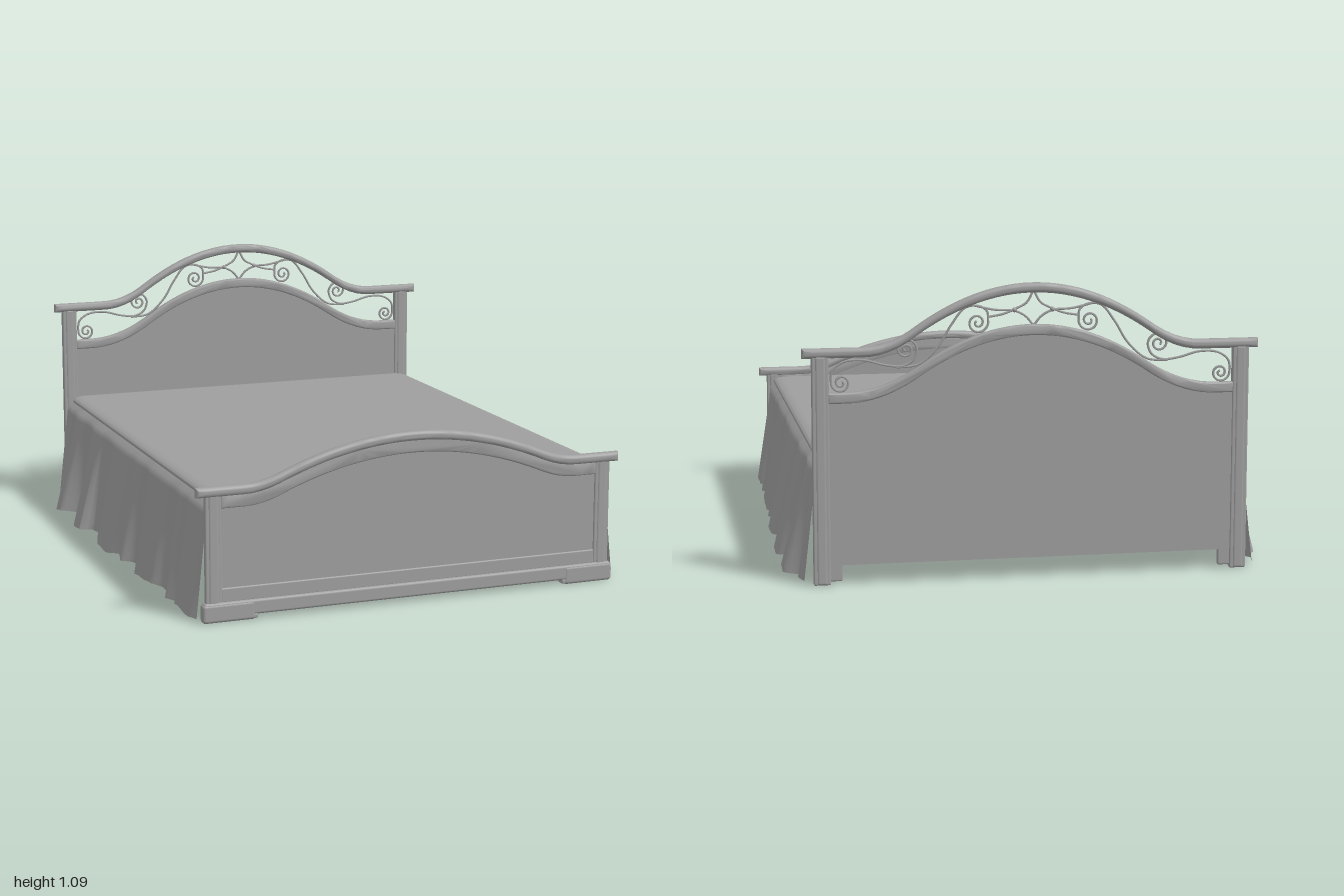
import * as THREE from 'three';
import { toCreasedNormals } from 'three/addons/utils/BufferGeometryUtils.js';
import { RoundedBoxGeometry } from 'three/addons/geometries/RoundedBoxGeometry.js';

const wood = new THREE.MeshStandardMaterial({ color: 0x9e9e9e });
const cloth = new THREE.MeshStandardMaterial({ color: 0x9e9e9e, side: THREE.DoubleSide });

function add(parent, name, geometry, material = wood) {
  const mesh = new THREE.Mesh(geometry, material);
  mesh.name = name;
  parent.add(mesh);
  return mesh;
}

// Arch: a full crown up to |x| = bend, easing into flat ends at |x| = half.
const arch = (low, rise, half, bend) => x => {
  const a = Math.abs(x);
  if (a >= half) return low;
  return low + rise * (a < bend ? 1 - a * a / (half * bend) : (half - a) ** 2 / (half * (half - bend)));
};

// Board between two curves of x, with softened edges, from z0 to z1.
function board(halfWidth, bottom, top, z0, z1, bevel) {
  const n = 48, points = [];
  for (let i = 0; i <= n; i++) {
    const x = -halfWidth + 2 * halfWidth * i / n;
    points.push(new THREE.Vector2(x, bottom(x)));
  }
  for (let i = n; i >= 0; i--) {
    const x = -halfWidth + 2 * halfWidth * i / n;
    points.push(new THREE.Vector2(x, top(x)));
  }
  const geometry = new THREE.ExtrudeGeometry(new THREE.Shape(points), {
    depth: z1 - z0 - 2 * bevel, bevelEnabled: bevel > 0, bevelThickness: bevel,
    bevelSize: bevel, bevelOffset: -bevel, bevelSegments: 4,
  });
  geometry.translate(0, 0, z0 + bevel);
  return toCreasedNormals(geometry, 0.7);
}

function block(parent, name, x0, x1, y0, y1, z0, z1, radius = 0.006) {
  const geometry = new RoundedBoxGeometry(x1 - x0, y1 - y0, z1 - z0, 3, radius);
  add(parent, name, geometry).position.set((x0 + x1) / 2, (y0 + y1) / 2, (z0 + z1) / 2);
}

// Pair of posts: a square core with a half-round strip on both faces.
function posts(parent, height, z0, z1) {
  for (const side of [-1, 1]) {
    const cx = side * 0.775;
    block(parent, 'post', cx - 0.031, cx + 0.031, 0.003, height, z0 + 0.003, z1 - 0.003);
    block(parent, 'postMoulding', cx - 0.02, cx + 0.02, 0.003, height, z0, z1, 0.01);
  }
}

// Spiral winding outward from its centre to the given end angle.
function spiral(cx, cy, radius, endAngle, direction) {
  const points = [], n = 24, turns = 1.7;
  for (let i = 0; i <= n; i++) {
    const t = i / n, r = radius * (0.15 + 0.85 * t);
    const a = endAngle - direction * (1 - t) * turns * 2 * Math.PI;
    points.push([cx + r * Math.cos(a), cy + r * Math.sin(a)]);
  }
  return points;
}

function scrollwork(parent) {
  const lower = spiral(0.7, 0.74, 0.035, 0, 1);
  const middle = spiral(0.465, 0.855, 0.04, Math.PI * 1.05, 1).reverse();
  const upper = spiral(0.205, 0.945, 0.04, Math.PI * 0.9, -1).reverse();
  const paths = [
    [...lower, [0.73, 0.785], [0.69, 0.815], [0.62, 0.82], [0.54, 0.8], [0.48, 0.795], [0.44, 0.815], ...middle],
    [[0.5, 0.79], [0.42, 0.8], [0.35, 0.86], [0.3, 0.94], [0.25, 1.0], [0.2, 1.005], [0.17, 0.985], ...upper],
    [[0.23, 1.01], [0.14, 0.99], [0.07, 0.985], [0.03, 0.965], [0, 0.93]],
    [[0.165, 0.965], [0.11, 0.975], [0.06, 0.995], [0.025, 1.015], [0, 1.06]],
  ];
  const group = new THREE.Group();
  group.name = 'scrollwork';
  for (const path of paths) for (const side of [-1, 1]) {
    const curve = new THREE.CatmullRomCurve3(path.map(([x, y]) => new THREE.Vector3(side * x, y, -0.982)));
    add(group, 'scroll', new THREE.TubeGeometry(curve, path.length * 5, 0.0045, 6));
  }
  // Small collars where the central scrolls cross
  for (const side of [-1, 1]) {
    add(group, 'collar', new THREE.SphereGeometry(0.009, 10, 8)).position.set(side * 0.07, 0.988, -0.982);
  }
  parent.add(group);
}

function headboard() {
  const group = new THREE.Group();
  group.name = 'headboard';
  const rail = arch(0.83, 0.22, 0.62, 0.44), panel = arch(0.705, 0.23, 0.68, 0.42);
  add(group, 'headTopRail', board(0.84, rail, x => rail(x) + 0.036, -1, -0.964, 0.014));
  add(group, 'headPanel', board(0.75, () => 0.075, x => panel(x) - 0.01, -0.992, -0.975, 0));
  add(group, 'headPanelMoulding', board(0.748, x => panel(x) - 0.04, panel, -0.996, -0.969, 0.008));
  posts(group, 0.84, -0.999, -0.967);
  // Short legs under the panel, beside the posts
  for (const side of [-1, 1]) {
    block(group, 'innerLeg', side * 0.725 - 0.025, side * 0.725 + 0.025, 0.015, 0.085, -0.99, -0.972);
  }
  scrollwork(group);
  return group;
}

function footboard() {
  const group = new THREE.Group();
  group.name = 'footboard';
  const rail = arch(0.464, 0.144, 0.66, 0.52);
  add(group, 'footTopRail', board(0.84, rail, x => rail(x) + 0.036, 0.962, 1, 0.014));
  add(group, 'footRailMoulding', board(0.748, x => rail(x) - 0.045, x => rail(x) + 0.01, 0.967, 0.992, 0.008));
  add(group, 'footPanel', board(0.75, () => 0.06, x => rail(x) - 0.01, 0.968, 0.984, 0));
  posts(group, 0.475, 0.965, 0.993);
  // Plinth with a lower moulding and a foot under each post
  block(group, 'lowerRail', -0.748, 0.748, 0.07, 0.125, 0.972, 0.988);
  block(group, 'plinth', -0.815, 0.815, 0.018, 0.074, 0.963, 0.998, 0.01);
  for (const side of [-1, 1]) {
    block(group, 'foot', side * 0.72 - 0.1, side * 0.72 + 0.1, 0, 0.07, 0.96, 1, 0.012);
    block(group, 'footTip', side * 0.71 - 0.1, side * 0.71 + 0.1, 0.004, 0.022, 0.962, 0.998);
  }
  return group;
}

function mattress() {
  const x = 0.782, z0 = -0.968, z1 = 0.96, r = 0.06;
  const shape = new THREE.Shape();
  shape.absarc(x - r, z1 - r, r, 0, Math.PI / 2);
  shape.absarc(-x + r, z1 - r, r, Math.PI / 2, Math.PI);
  shape.absarc(-x + r, z0 + r, r, Math.PI, Math.PI * 1.5);
  shape.absarc(x - r, z0 + r, r, Math.PI * 1.5, Math.PI * 2);
  const geometry = new THREE.ExtrudeGeometry(shape, {
    depth: 0.002, bevelEnabled: true, bevelThickness: 0.016, bevelSize: 0.045,
    bevelOffset: -0.045, bevelSegments: 8, curveSegments: 8,
  });
  geometry.rotateX(Math.PI / 2);
  geometry.translate(0, 0.45, 0);
  return toCreasedNormals(geometry, 0.8);
}

// Hem outline of the skirt as [z, x]; folds fade out towards the top.
const hem = [
  [-0.97, 0.838], [-0.9, 0.855], [-0.84, 0.828], [-0.79, 0.9], [-0.72, 0.9], [-0.66, 0.83],
  [-0.62, 0.815], [-0.57, 0.84], [-0.51, 0.9], [-0.4, 0.9], [-0.38, 0.85], [-0.3, 0.845],
  [-0.23, 0.875], [-0.17, 0.89], [-0.02, 0.89], [0.04, 0.86], [0.13, 0.88], [0.18, 0.84],
  [0.23, 0.82], [0.29, 0.87], [0.4, 0.87], [0.5, 0.865], [0.54, 0.83], [0.6, 0.82],
  [0.66, 0.862], [0.74, 0.818], [0.77, 0.858], [0.93, 0.856], [0.968, 0.835],
];

function skirt(side) {
  const nz = 140, ny = 16;
  const geometry = new THREE.PlaneGeometry(1, 1, nz, ny);
  const position = geometry.attributes.position;
  for (let i = 0; i < position.count; i++) {
    const z = -0.97 + 1.938 * (position.getX(i) + 0.5), drop = 0.5 - position.getY(i);
    let k = 0;
    while (k < hem.length - 2 && hem[k + 1][0] < z) k++;
    const t = (z - hem[k][0]) / (hem[k + 1][0] - hem[k][0]);
    const outer = THREE.MathUtils.lerp(hem[k][1], hem[k + 1][1], t);
    const bottom = 0.016 + 0.006 * Math.sin(z * 17) + 0.003 * Math.sin(z * 41);
    // The top edge is tucked in under the mattress
    const x = 0.74 + 0.048 * Math.min(1, drop * 16) + (outer - 0.788) * drop;
    const sway = 0.012 * drop * Math.sin(z * 23) * (0.968 - Math.abs(z));
    position.setXYZ(i, side * x, THREE.MathUtils.lerp(0.45, bottom, drop), z + sway);
  }
  // Keep the outside as the front face on both sides
  if (side > 0) {
    const index = geometry.index.array;
    for (let i = 0; i < index.length; i += 3) [index[i], index[i + 1]] = [index[i + 1], index[i]];
  }
  geometry.computeVertexNormals();
  return geometry;
}

export function createModel() {
  const bed = new THREE.Group();
  bed.name = 'bed';
  bed.add(headboard(), footboard());
  add(bed, 'mattress', mattress());
  add(bed, 'leftSkirt', skirt(1), cloth);
  add(bed, 'rightSkirt', skirt(-1), cloth);
  return bed;
}
